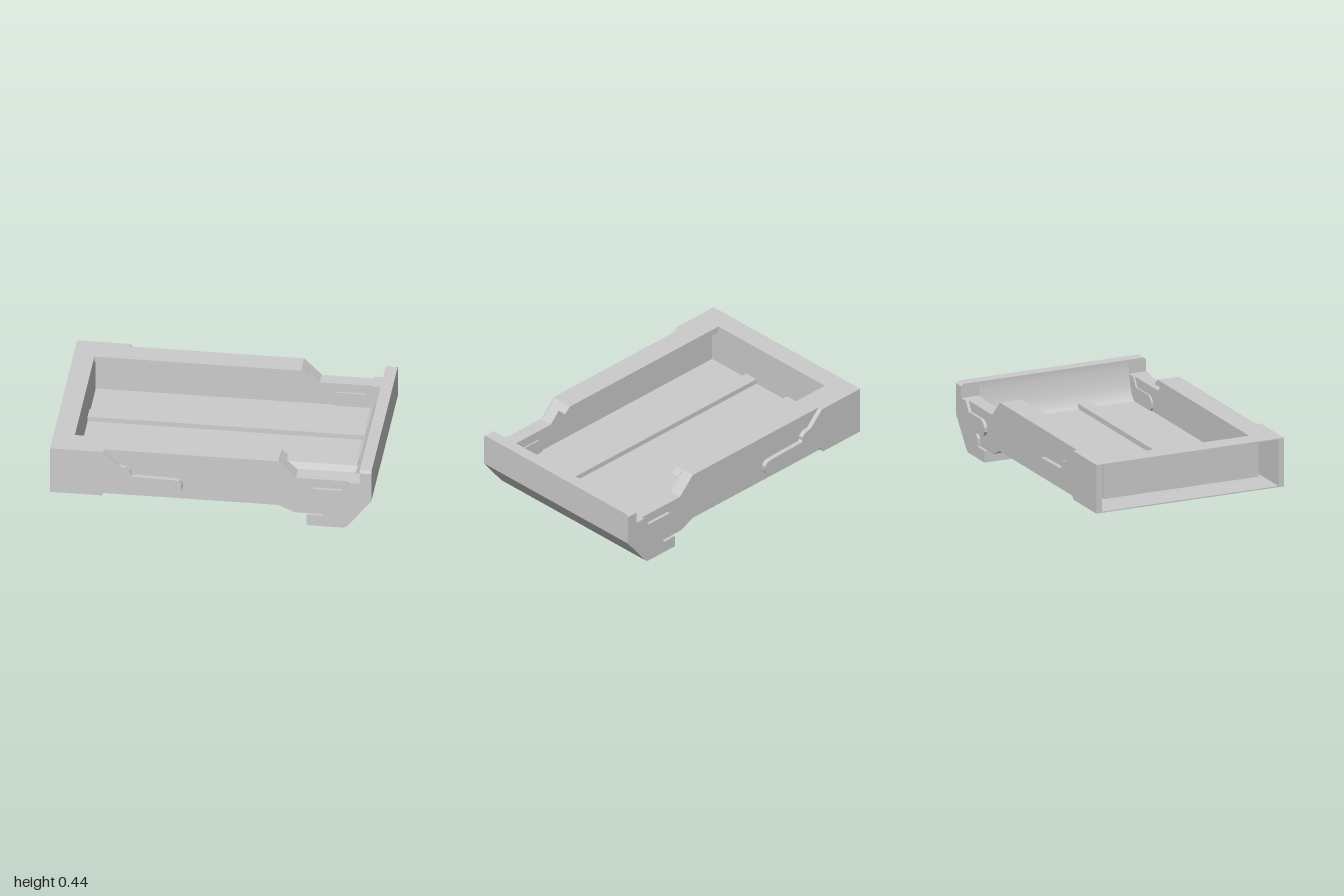
import * as THREE from 'three';
import { toCreasedNormals } from 'three/addons/utils/BufferGeometryUtils.js';

const mat = new THREE.MeshStandardMaterial({ color: 0xcccccc, side: THREE.DoubleSide });

export function createModel() {
  const group = new THREE.Group();

  const shapeOf = (pts) => new THREE.Shape(pts.map(([a, b]) => new THREE.Vector2(a, b)));
  const add = (name, geo) => {
    const mesh = new THREE.Mesh(toCreasedNormals(geo, 0.5), mat);
    mesh.name = name;
    group.add(mesh);
  };
  // side profile (x, y) extruded between two z values
  const alongZ = (name, pts, z0, z1) => {
    const geo = new THREE.ExtrudeGeometry(shapeOf(pts), { depth: z1 - z0, bevelEnabled: false });
    add(name, geo.translate(0, 0, z0));
  };
  // symmetric cross-section (z, y) extruded between two x values
  const alongX = (name, pts, x0, x1) => {
    const geo = new THREE.ExtrudeGeometry(shapeOf(pts), { depth: x1 - x0, bevelEnabled: false });
    add(name, geo.rotateY(Math.PI / 2).translate(x0, 0, 0));
  };
  // the same part on both sides
  const pair = (name, pts, z0, z1) => {
    alongZ(name + 'Front', pts, z0, z1);
    alongZ(name + 'Back', pts, -z1, -z0);
  };
  // thin sheet following a polyline
  const sheet = (pts, t) => [...pts, ...pts.slice().reverse().map(([a, b]) => [a, b + t])];
  const rect = (x0, y0, x1, y1) => [[x0, y0], [x1, y0], [x1, y1], [x0, y1]];

  // outer shell: side plates and bottom skin
  pair('sideWall', [
    [-1, 0.125], [0.42, 0.125], [0.52, 0.08], [0.85, 0.08], [0.925, 0.33],
    [0.53, 0.33], [0.42, 0.44], [-1, 0.44],
  ], 0.605, 0.615);
  alongZ('bottomPlate', sheet([[-1, 0.125], [0.42, 0.125], [0.52, 0.08], [0.62, 0.08]], 0.008), -0.614, 0.614);

  // raised side pads with latch-shaped outline
  pair('rearSidePad', [
    [-1, 0.125], [-0.68, 0.125], [-0.65, 0.165], [-0.345, 0.17], [-0.33, 0.175],
    [-0.22, 0.175], [-0.19, 0.185], [-0.18, 0.205], [-0.18, 0.24], [-0.195, 0.262],
    [-0.23, 0.27], [-0.49, 0.275], [-0.5, 0.285], [-0.5, 0.31], [-0.53, 0.335],
    [-0.57, 0.34], [-0.67, 0.44], [-1, 0.44],
  ], 0.615, 0.645);
  pair('frontSidePad', [
    [0.595, 0.005], [0.83, 0.005], [0.85, 0.018], [1, 0.21], [1, 0.405], [0.925, 0.405],
    [0.925, 0.33], [0.86, 0.33], [0.82, 0.27], [0.64, 0.27], [0.615, 0.255], [0.6, 0.23],
    [0.6, 0.2], [0.615, 0.175], [0.64, 0.165], [0.715, 0.165], [0.715, 0.155], [0.695, 0.13],
    [0.695, 0.08], [0.595, 0.08],
  ], 0.514, 0.635);

  // top frame: hollow rear cover, skin over the sides, thick overhanging rim
  alongZ('rearCover', rect(-1, 0.432, -0.868, 0.44), -0.614, 0.614);
  pair('sideTop', sheet([[-0.87, 0.432], [0.417, 0.432], [0.527, 0.322], [0.925, 0.322]], 0.008), 0.525, 0.614);
  pair('rimLip', [[-0.87, 0.4], [0.46, 0.4], [0.46, 0.402], [0.42, 0.44], [-0.87, 0.44]], 0.468, 0.526);

  // inner tray: walls and floor with two rails
  pair('trayWall', [
    [-0.87, 0.17], [0.9, 0.17], [0.925, 0.33], [0.53, 0.33], [0.46, 0.4], [-0.87, 0.4],
  ], 0.525, 0.533);
  alongZ('trayRearWall', rect(-0.876, 0.17, -0.868, 0.438), -0.53, 0.53);
  const half = [[0.525, 0.175], [0.255, 0.175], [0.225, 0.207], [0.135, 0.207], [0.134, 0.175]];
  const floor = [...half.map(([z, y]) => [-z, y]), ...half.slice().reverse()];
  alongX('trayFloor', sheet(floor, -0.008), -0.87, 0.86);

  // front block with a concave inner face
  const curve = new THREE.QuadraticBezierCurve(
    new THREE.Vector2(0.925, 0.4), new THREE.Vector2(0.905, 0.2), new THREE.Vector2(0.84, 0.175));
  alongZ('frontBlock', [
    [0.595, 0.005], [0.83, 0.005], [0.85, 0.018], [1, 0.21], [1, 0.405], [0.925, 0.405],
    ...curve.getPoints(12).map((p) => [p.x, p.y]), [0.84, 0.12], [0.595, 0.085],
  ], -0.515, 0.515);

  // lip along the top of the front, corners chamfered
  alongX('frontLip', [
    [-0.635, 0.4], [0.635, 0.4], [0.635, 0.405], [0.62, 0.42], [-0.62, 0.42], [-0.635, 0.405],
  ], 0.925, 1);

  return group;
}
